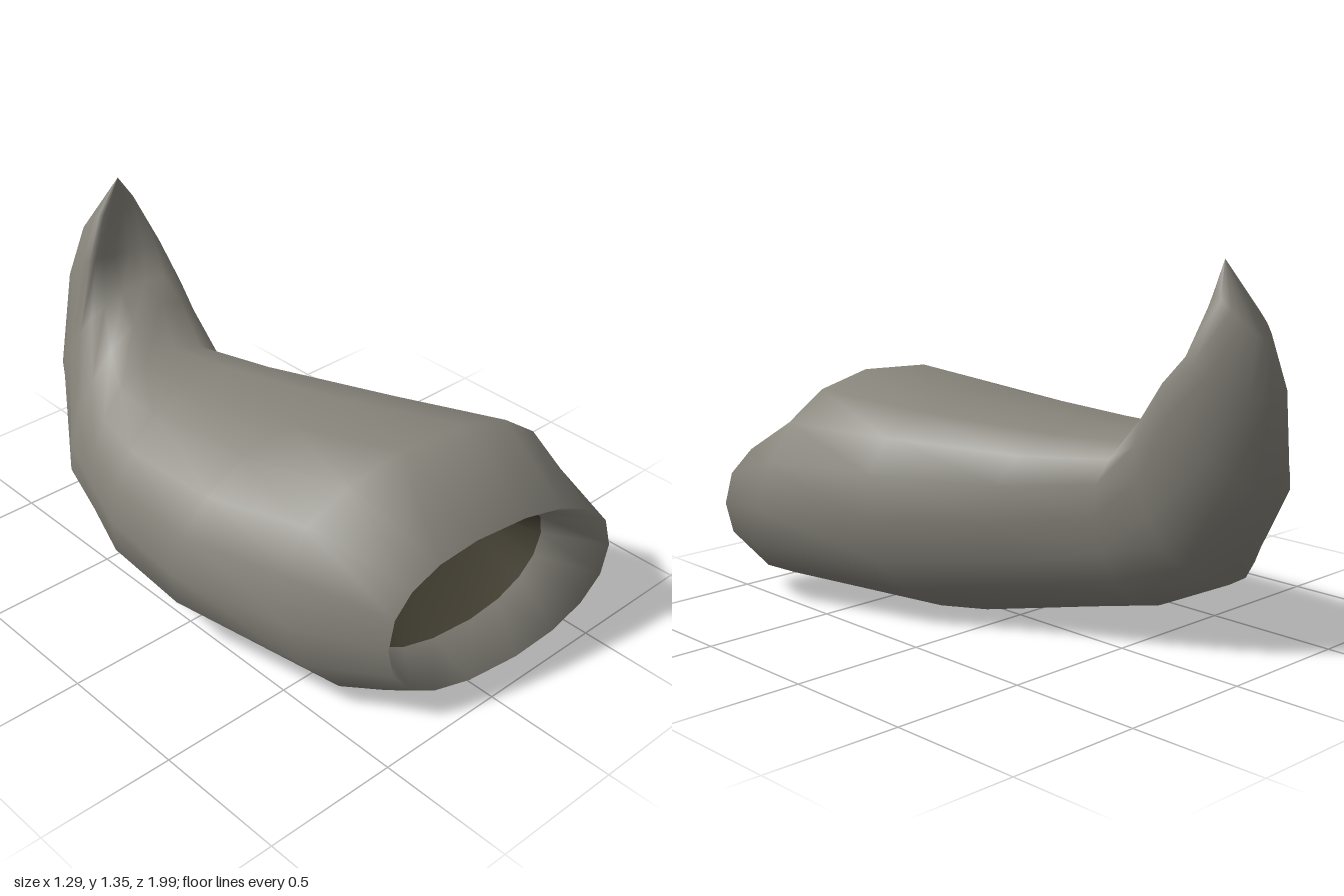
import * as THREE from 'three';

// Smooth skin through rings of [left, right, top, bottom] points, slightly fuller than ellipses.
// Strips before ring `split` take the first material, the rest the second.
function loft(rings, sides, split) {
  const pos = [], index = [];
  const full = (v) => Math.sign(v) * Math.abs(v) ** 0.88;
  for (const [L, R, T, B] of rings) {
    for (let j = 0; j < sides; j++) {
      const t = (j / sides) * Math.PI * 2;
      for (let k = 0; k < 3; k++) {
        pos.push((L[k] + R[k] + T[k] + B[k]) / 4
          + full(Math.cos(t)) * (L[k] - R[k]) / 2
          + full(Math.sin(t)) * (T[k] - B[k]) / 2
          + Math.cos(2 * t) * (L[k] + R[k] - T[k] - B[k]) / 4);
      }
    }
  }
  for (let i = 0; i < rings.length - 1; i++) {
    for (let j = 0; j < sides; j++) {
      const n = (j + 1) % sides;
      const a = i * sides + j, b = i * sides + n;
      const c = a + sides, d = b + sides;
      index.push(a, c, b, b, c, d);
    }
  }
  const g = new THREE.BufferGeometry();
  g.setAttribute('position', new THREE.Float32BufferAttribute(pos, 3));
  g.setIndex(index);
  g.addGroup(0, split * sides * 6, 0);
  g.addGroup(split * sides * 6, index.length - split * sides * 6, 1);
  g.computeVertexNormals();
  return g;
}

const point = (x, y, z) => Array(4).fill([x, y, z]);

export function createModel() {
  const group = new THREE.Group();
  group.name = 'hollowHorn';
  const dark = new THREE.MeshStandardMaterial({ color: 0x4a4638 });
  const horn = new THREE.MeshStandardMaterial({ color: 0x87847b });

  // Shallow hollow, from its deepest point out to the mouth
  const hollow = [
    point(0, 0.44, 0.56),
    [[0.32, 0.43, 0.62], [-0.3, 0.42, 0.56], [0, 0.48, 0.6], [0, 0.34, 0.58]],
    [[0.42, 0.38, 0.82], [-0.36, 0.36, 0.73], [0.04, 0.57, 0.81], [0.04, 0.13, 0.77]],
  ];

  // Mouth, wide body, bend, then the upturned point
  const skin = [
    [[0.59, 0.34, 0.99], [-0.38, 0.33, 0.87], [0.08, 0.62, 0.92], [0.08, 0.03, 0.93]],
    [[0.64, 0.38, 0.72], [-0.55, 0.34, 0.55], [0.05, 0.85, 0.63], [0.06, 0.01, 0.85]],
    [[0.49, 0.4, 0.28], [-0.65, 0.34, 0.1], [-0.05, 0.79, 0.2], [-0.05, 0, 0.08]],
    [[0.27, 0.42, -0.15], [-0.64, 0.37, -0.25], [-0.15, 0.755, -0.28], [-0.2, 0.06, -0.28]],
    [[0.11, 0.47, -0.46], [-0.6, 0.43, -0.42], [-0.18, 0.75, -0.53], [-0.22, 0.12, -0.54]],
    [[0.07, 0.62, -0.62], [-0.52, 0.44, -0.65], [-0.14, 0.87, -0.645], [-0.2, 0.24, -0.75]],
    [[0.06, 0.85, -0.73], [-0.37, 0.73, -0.83], [-0.14, 0.95, -0.72], [-0.18, 0.6, -0.97]],
    [[0.045, 1.03, -0.82], [-0.29, 1.05, -0.83], [-0.13, 1.05, -0.8], [-0.17, 0.9, -1.0]],
    [[-0.04, 1.23, -0.86], [-0.22, 1.21, -0.84], [-0.12, 1.22, -0.81], [-0.15, 1.1, -0.97]],
    point(-0.12, 1.35, -0.81),
  ];

  const body = new THREE.Mesh(loft([...hollow, ...skin], 18, 2), [dark, horn]);
  body.name = 'hornBody';
  group.add(body);
  return group;
}
